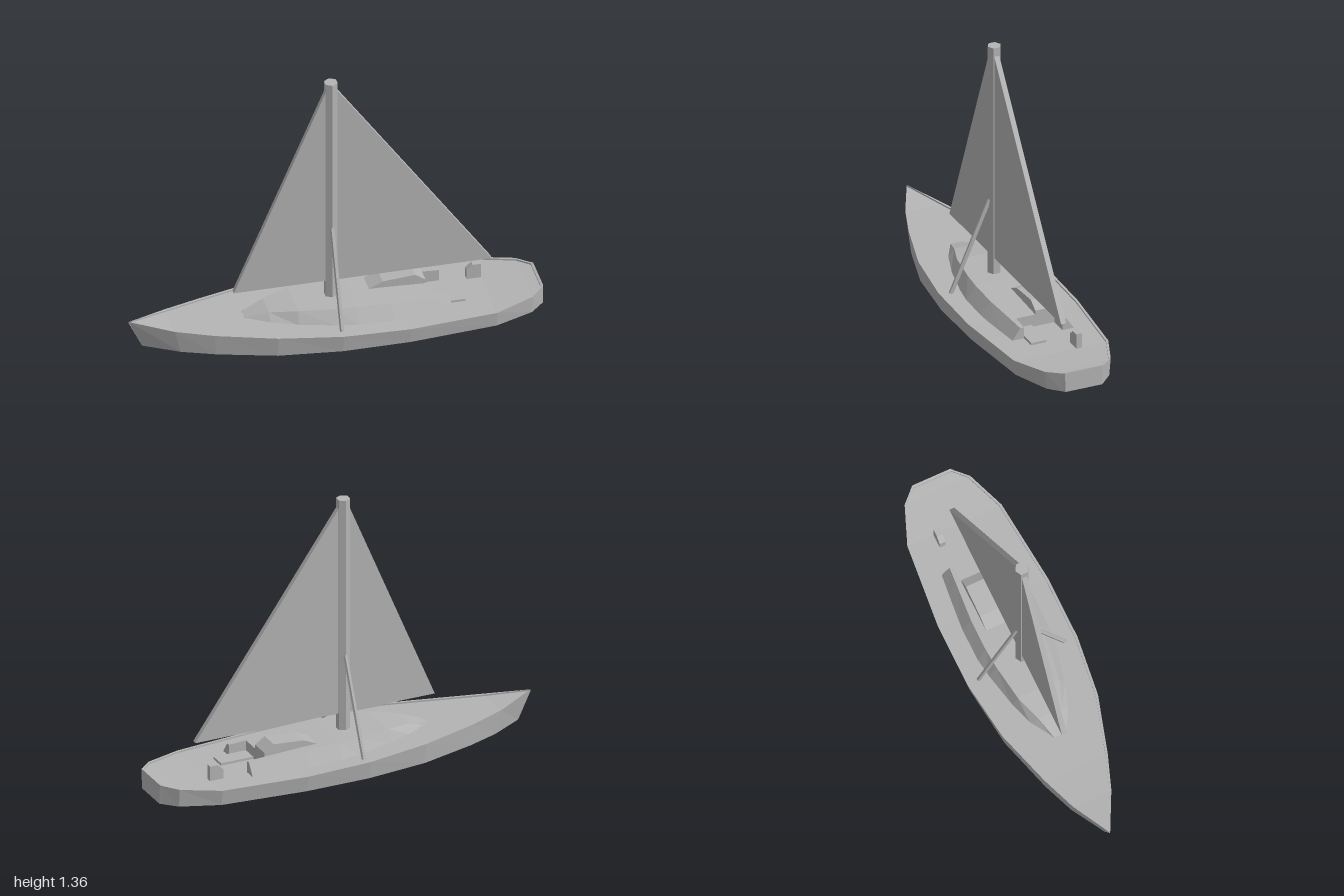
import * as THREE from 'three';

const grey = new THREE.MeshStandardMaterial({ color: 0xb4b4b4 });
grey.name = 'plain grey';
grey.flatShading = true;

// Skins closed cross-sections (ordered along +x, each counterclockwise seen from +x) and caps both ends.
function loft(sections) {
  const pos = [];
  const tri = (...pts) => pts.forEach((p) => pos.push(...p));
  const n = sections[0].length;
  for (let i = 0; i < sections.length - 1; i++) {
    const a = sections[i], b = sections[i + 1];
    for (let j = 0; j < n; j++) {
      const k = (j + 1) % n;
      tri(a[j], a[k], b[k]);
      tri(a[j], b[k], b[j]);
    }
  }
  const first = sections[0], last = sections[sections.length - 1];
  for (let j = 1; j < n - 1; j++) {
    tri(first[0], first[j + 1], first[j]);
    tri(last[0], last[j], last[j + 1]);
  }
  const g = new THREE.BufferGeometry();
  g.setAttribute('position', new THREE.Float32BufferAttribute(pos, 3));
  g.computeVertexNormals();
  return g;
}

// Side profile in x, y extruded from z0 to z1.
function profile(points, z0, z1) {
  const shape = new THREE.Shape(points.map(([x, y]) => new THREE.Vector2(x, y)));
  const g = new THREE.ExtrudeGeometry(shape, { depth: z1 - z0, bevelEnabled: false });
  return g.translate(0, 0, z0);
}

export function createModel() {
  const boat = new THREE.Group();
  boat.name = 'sailboat';
  const add = (name, geometry) => {
    const mesh = new THREE.Mesh(geometry, grey);
    mesh.name = name;
    boat.add(mesh);
    return mesh;
  };

  // Hull: x, half width, rim height, x at the bottom, deck drop inside the rim
  const stations = [
    [-1, 0, 0.145, -0.935, 0.008], [-0.8, 0.1, 0.121, -0.77, 0.008],
    [-0.62, 0.165, 0.111, -0.61, 0.008], [-0.33, 0.25, 0.104, -0.33, 0.008],
    [-0.02, 0.288, 0.09, -0.02, 0.008], [0.31, 0.288, 0.081, 0.31, 0.008],
    [0.74, 0.247, 0.079, 0.74, 0.008], [0.93, 0.172, 0.091, 0.93, 0.008],
    [0.988, 0.112, 0.097, 0.988, 0.008], [0.988, 0.112, 0.097, 0.988, 0], [1, 0.1, 0.1, 1, 0],
  ];
  add('hull', loft(stations.map(([x, w, y, xb, drop]) => {
    const wb = w * 0.955, wi = Math.max(0, w - 0.012);
    return [
      [xb, 0, wb], [xb, 0, -wb], [x, y, -w], [x, y, -wi],
      [x, y - drop, -wi], [x, y - drop, wi], [x, y, wi], [x, y, w],
    ];
  })));

  // Cabin: x, base half width, base height, roof half width, roof height
  const cabin = [
    [-0.44, 0.035, 0.088, 0.03, 0.1], [-0.33, 0.1, 0.088, 0.062, 0.133],
    [-0.2, 0.14, 0.085, 0.108, 0.148], [-0.02, 0.177, 0.078, 0.135, 0.15],
    [0.08, 0.192, 0.074, 0.143, 0.149], [0.25, 0.192, 0.07, 0.143, 0.144],
    [0.45, 0.173, 0.068, 0.127, 0.135],
  ];
  add('cabin', loft(cabin.map(([x, w, y, rw, ry]) =>
    [[x, y, w], [x, y, -w], [x, ry, -rw], [x, ry, rw]])));

  // Side walls of the cockpit, carrying the cabin line aft
  const wing = [[0.45, 0.173, 0.127, 0.135], [0.54, 0.163, 0.12, 0.13]];
  for (const s of [1, -1]) {
    add(s > 0 ? 'leftCockpitWall' : 'rightCockpitWall', loft(wing.map(([x, w, rw, ry]) => {
      const loop = [[x, 0.068, s * w], [x, 0.068, s * 0.1], [x, ry, s * 0.1], [x, ry, s * rw]];
      return s > 0 ? loop : loop.reverse();
    })));
  }
  const step = add('cockpitStep', new THREE.BoxGeometry(0.17, 0.015, 0.08));
  step.position.set(0.535, 0.076, 0.06);

  // Raised hatch on the cabin roof and a small stern post
  add('hatch', profile([[0.16, 0.14], [0.45, 0.13], [0.45, 0.155], [0.4, 0.19], [0.24, 0.178]], -0.1, 0));
  add('sternPost', profile([[0.67, 0.065], [0.74, 0.065], [0.74, 0.147], [0.7, 0.147], [0.67, 0.12]], -0.11, -0.08));

  // Mast and sails
  const mastX = -0.013;
  const mast = add('mast', new THREE.CylinderGeometry(0.034, 0.034, 1.215, 6));
  mast.position.set(mastX, 0.7475, 0);
  add('foreSail', profile([[-0.49, 0.235], [mastX, 0.235], [mastX, 1.31], [-0.04, 1.31]], -0.013, 0.013));
  add('mainSail', profile([[mastX, 0.235], [0.77, 0.235], [0.016, 1.31], [mastX, 1.31]], -0.013, 0.013));

  // Shrouds bracing the mast from the deck
  for (const s of [1, -1]) {
    const path = new THREE.LineCurve3(
      new THREE.Vector3(mastX, 0.54, s * 0.025), new THREE.Vector3(mastX, 0.08, s * 0.226));
    add(s > 0 ? 'leftShroud' : 'rightShroud', new THREE.TubeGeometry(path, 1, 0.011, 6));
  }
  return boat;
}
